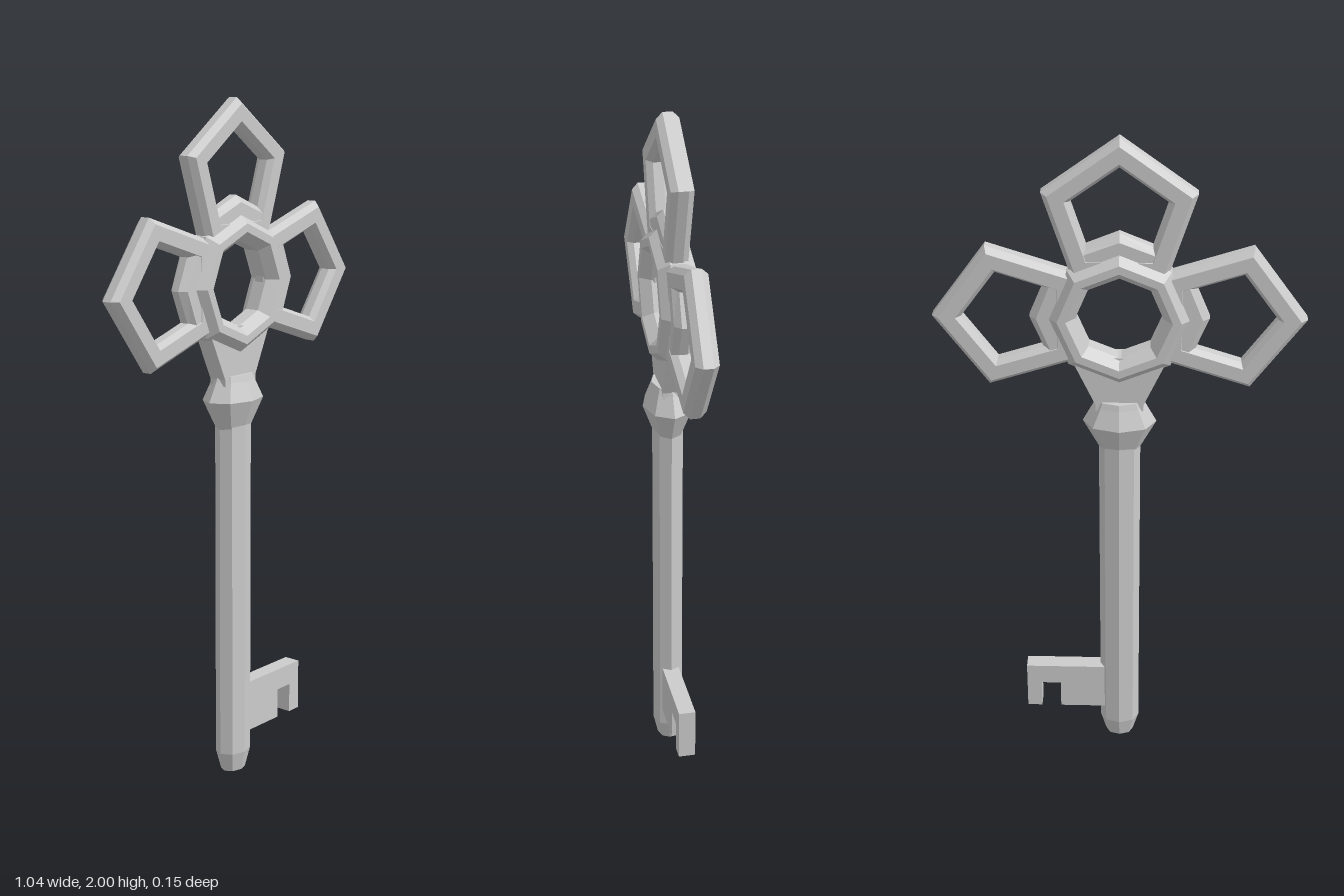
import * as THREE from 'three';

const material = new THREE.MeshStandardMaterial({ color: 0xcccccc, flatShading: true });
const HUB_Y = 1.48;

function part(name, geometry) {
  const flat = geometry.index ? geometry.toNonIndexed() : geometry;
  flat.computeVertexNormals();
  const mesh = new THREE.Mesh(flat, material);
  mesh.name = name;
  return mesh;
}

const points = (list) => list.map(([x, y]) => new THREE.Vector2(x, y));

// Faceted frame around the z axis with a chamfered section; one corner points to +x.
// [rOut, rIn] are the side walls, [fOut, fIn] bound the flat face at z = +-depth.
function frame(sides, rOut, fOut, fIn, rIn, wall, depth) {
  const profile = points([
    [fOut, -depth], [rOut, -wall], [rOut, wall], [fOut, depth],
    [fIn, depth], [rIn, wall], [rIn, -wall], [fIn, -depth], [fOut, -depth],
  ]);
  return new THREE.LatheGeometry(profile, sides).rotateX(Math.PI / 2).rotateZ(Math.PI / 2);
}

// Plate centred on z = 0
function plate(outline, thickness, bevel = 0) {
  const geometry = new THREE.ExtrudeGeometry(new THREE.Shape(points(outline)), {
    depth: thickness - 2 * bevel,
    bevelEnabled: bevel > 0,
    bevelThickness: bevel,
    bevelSize: bevel,
    bevelOffset: -bevel,
    bevelSegments: 1,
  });
  return geometry.translate(0, 0, -thickness / 2 + bevel);
}

// Eight-sided turned piece, flattened front to back
const turned = (profile, flatten) =>
  new THREE.LatheGeometry(points(profile), 8).scale(1, 1, flatten);

export function createModel() {
  const key = new THREE.Group();
  key.name = 'key';

  // Shaft with tapered tip
  key.add(part('shaft', turned(
    [[0, 0], [0.042, 0], [0.06, 0.06], [0.06, 1.1], [0, 1.1]], 0.76)));

  // Collar
  key.add(part('collar', turned(
    [[0, 1.06], [0.06, 1.06], [0.106, 1.145], [0.076, 1.2], [0.068, 1.218], [0, 1.218]], 0.69)));

  // Notched bit
  key.add(part('bit', plate([
    [0.02, 0.11], [0.185, 0.11], [0.185, 0.2], [0.245, 0.2],
    [0.245, 0.11], [0.29, 0.11], [0.29, 0.265], [0.02, 0.265],
  ], 0.05)));

  // Flared neck between collar and bow
  key.add(part('neck', plate(
    [[-0.068, 1.19], [0.068, 1.19], [0.068, 1.21], [0.137, 1.36], [-0.137, 1.36], [-0.068, 1.21]], 0.056)));

  // Bow: central octagonal ring with three pentagonal petals
  const bow = new THREE.Group();
  bow.name = 'bow';
  bow.position.y = HUB_Y;
  bow.add(part('centreRing', frame(8, 0.202, 0.172, 0.148, 0.122, 0.022, 0.053)));

  ['leftPetal', 'topPetal', 'rightPetal'].forEach((name, i) => {
    const petal = new THREE.Group();
    petal.name = name;
    const pentagon = part('petalFrame', frame(5, 0.222, 0.204, 0.156, 0.141, 0.014, 0.032));
    pentagon.position.x = 0.298;
    // Angled shoulder at the root of the petal
    const shoulder = part('petalShoulder', plate(
      [[0.25, 0], [0.195, 0.133], [0.15, 0.1], [0.15, -0.1], [0.195, -0.133]], 0.06, 0.018));
    petal.add(pentagon, shoulder);
    petal.rotation.z = i * Math.PI / 2;
    bow.add(petal);
  });
  key.add(bow);

  return key;
}
